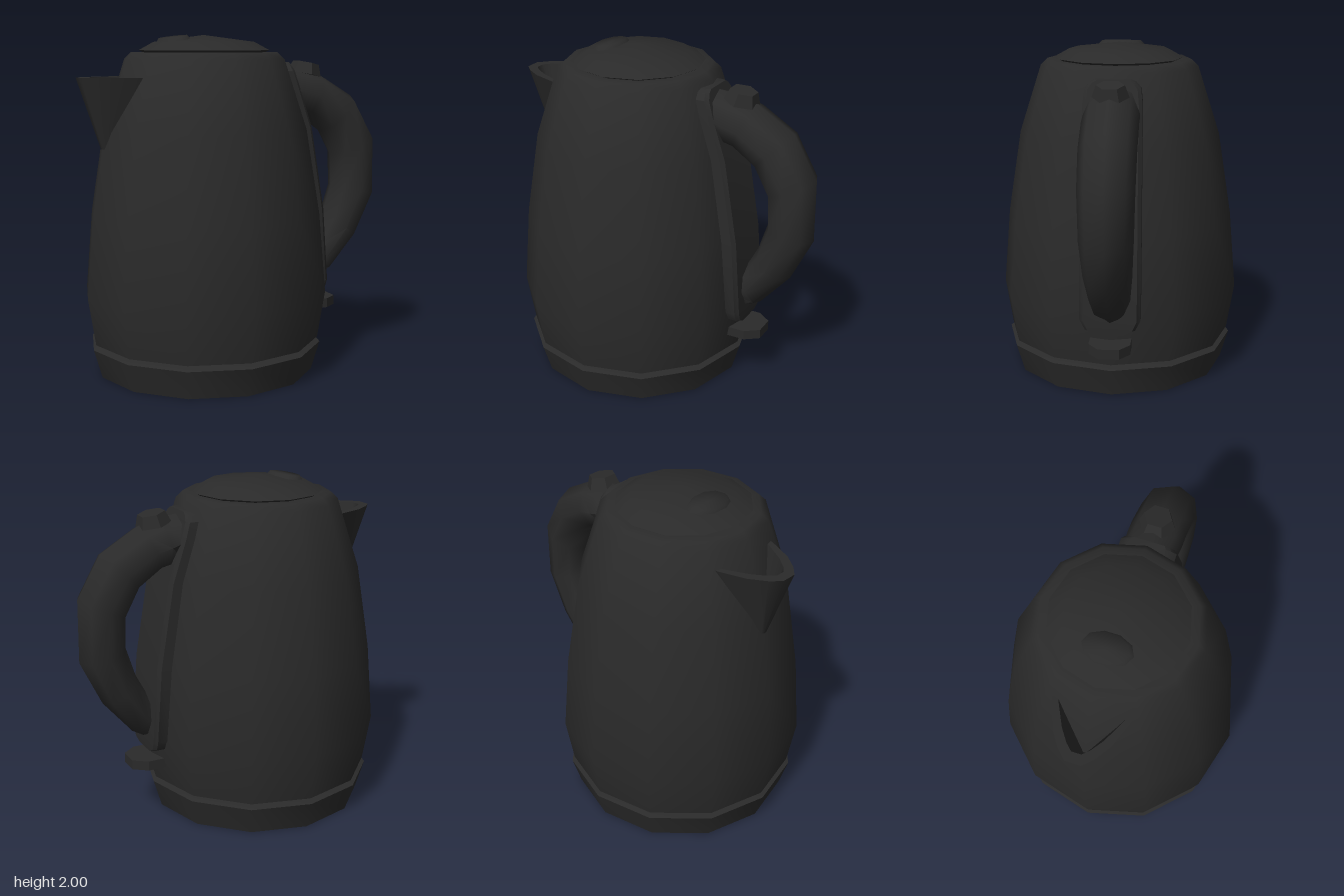
import * as THREE from 'three';
import { toCreasedNormals } from 'three/addons/utils/BufferGeometryUtils.js';

const AXIS = -0.19; // x of the vessel's axis

// Closed, capped skin over rings of [x, y, z] points
function loft(rings) {
  const n = rings[0].length;
  const pts = rings.flat().map((p) => new THREE.Vector3(...p));
  const tris = [];
  for (let r = 0; r < rings.length - 1; r++) {
    for (let i = 0; i < n; i++) {
      const a = r * n + i, b = r * n + ((i + 1) % n);
      tris.push([a, b, b + n], [a, b + n, a + n]);
    }
  }
  const cap = (start, flip) => {
    const c = new THREE.Vector3();
    for (let i = 0; i < n; i++) c.addScaledVector(pts[start + i], 1 / n);
    pts.push(c);
    const ci = pts.length - 1;
    for (let i = 0; i < n; i++) {
      const a = start + i, b = start + ((i + 1) % n);
      tris.push(flip ? [b, a, ci] : [a, b, ci]);
    }
  };
  cap(0, true);
  cap((rings.length - 1) * n, false);
  // Turn the faces outward
  const cross = new THREE.Vector3();
  let volume = 0;
  for (const [a, b, c] of tris) volume += pts[a].dot(cross.crossVectors(pts[b], pts[c]));
  if (volume < 0) tris.forEach((t) => t.reverse());
  const g = new THREE.BufferGeometry().setFromPoints(pts);
  g.setIndex(tris.flat());
  return g;
}

export function createModel() {
  const kettle = new THREE.Group();
  kettle.name = 'kettle';
  const charcoal = new THREE.MeshStandardMaterial({ color: 0x2a2a2a });
  charcoal.name = 'charcoal';

  const add = (name, geometry, crease = 0.7) => {
    const mesh = new THREE.Mesh(toCreasedNormals(geometry, crease), charcoal);
    mesh.name = name;
    kettle.add(mesh);
    return mesh;
  };
  const turned = (name, profile, crease) => {
    const pts = profile.map(([r, y]) => new THREE.Vector2(r, y));
    add(name, new THREE.LatheGeometry(pts, 12), crease).position.x = AXIS;
  };

  // Twelve-sided vessel
  turned('base', [[0, 0], [0.65, 0], [0.7, 0.17], [0.635, 0.195], [0, 0.195]], 0.6);
  turned('body', [[0, 0.2], [0.685, 0.2], [0.73, 0.48], [0.69, 0.95], [0.61, 1.45],
    [0.477, 1.86], [0.435, 1.9], [0.36, 1.9], [0, 1.9]], 0.85);
  turned('lid', [[0, 1.895], [0.36, 1.898], [0.388, 1.912], [0.3, 1.96], [0, 2]], 0.6);

  // Oval release on the lid
  const release = add('lidRelease', new THREE.CylinderGeometry(0.8, 1, 0.03, 10));
  release.scale.set(0.1, 1, 0.15);
  release.position.set(-0.38, 1.975, 0);
  release.rotation.z = 0.14;

  // Pouring spout: outer wall up, inner wall down
  const mirrored = (half) => [...half, ...half.map(([x, z]) => [x, -z]).reverse()];
  const outer = mirrored([[-0.6, 0.23], [-0.66, 0.215], [-0.81, 0.16], [-0.9, 0.1], [-0.953, 0.045]]);
  const inner = mirrored([[-0.61, 0.195], [-0.66, 0.18], [-0.79, 0.115], [-0.86, 0.065], [-0.895, 0.028]]);
  const at = (ring, y) => ring.map(([x, z]) => [x, y, z]);
  const shrunk = (ring, y, cx, k) => ring.map(([x, z]) => [cx + (x + 0.8) * k, y, z * k]);
  add('spout', loft([shrunk(outer, 1.35, -0.795, 0.18), at(outer, 1.76),
    at(inner, 1.76), shrunk(inner, 1.45, -0.79, 0.2)]), 0.8);

  // Handle: octagonal sections given by outer x, y, inner x, y and half width
  const sections = [
    [0.3, 1.82, 0.36, 1.54, 0.15], [0.44, 1.8, 0.41, 1.51, 0.16], [0.57, 1.765, 0.46, 1.5, 0.16],
    [0.8, 1.63, 0.585, 1.41, 0.16], [0.945, 1.38, 0.663, 1.26, 0.157], [0.95, 1.01, 0.67, 1.07, 0.15],
    [0.82, 0.74, 0.61, 0.88, 0.137], [0.64, 0.53, 0.53, 0.73, 0.118], [0.5, 0.45, 0.44, 0.68, 0.07],
  ];
  add('handle', loft(sections.map(([ox, oy, ix, iy, w]) =>
    Array.from({ length: 8 }, (_, i) => {
      const a = (i * Math.PI) / 4, t = (1 + Math.cos(a)) / 2;
      return [ix + (ox - ix) * t, iy + (oy - iy) * t, w * Math.sin(a)];
    }))), 0.9);

  // Rounded mounting strip following the body: y, outer x, half width
  const strip = [[0.415, 0.565, 0.09], [0.44, 0.567, 0.145], [0.5, 0.57, 0.175], [0.95, 0.537, 0.175],
    [1.45, 0.452, 0.172], [1.7, 0.368, 0.17], [1.79, 0.34, 0.16], [1.825, 0.33, 0.13], [1.84, 0.325, 0.1]];
  add('handleMount', loft(strip.map(([y, x, w]) => [
    [x, y, w * 0.88], [x - 0.02, y, w], [x - 0.1, y, w],
    [x - 0.1, y, -w], [x - 0.02, y, -w], [x, y, -w * 0.88],
  ])), 0.5);

  // Six-sided button on top of the handle
  const button = add('handleButton', new THREE.CylinderGeometry(0.08, 0.105, 0.07, 6), 0.5);
  button.position.set(0.48, 1.8, 0);
  button.rotation.z = -0.2;

  // Power switch with clipped corners
  const lever = [[0.4, 0.12], [0.59, 0.12], [0.67, 0.06], [0.67, -0.06], [0.59, -0.12], [0.4, -0.12]];
  add('powerSwitch', loft([at(lever, 0.31), at(lever, 0.368)]), 0.5);

  return kettle;
}
